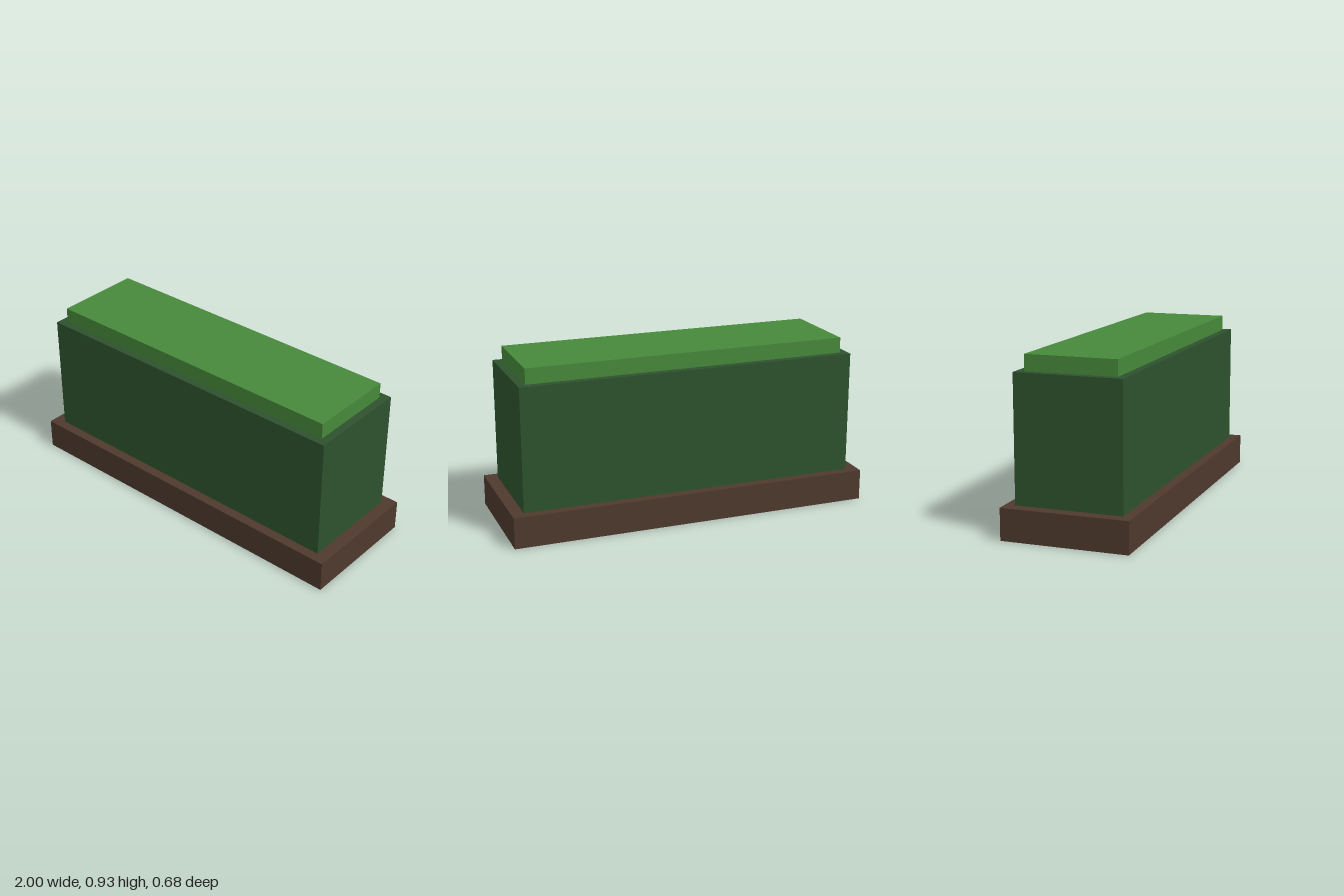
import * as THREE from 'three';

const material = (name, color) => {
  const m = new THREE.MeshStandardMaterial({ color });
  m.name = name;
  return m;
};

export function createModel() {
  const group = new THREE.Group();
  group.name = 'plantedHedge';

  // Box centred on x and z, spanning y0 to y1
  const addBlock = (name, width, y0, y1, depth, mat) => {
    const mesh = new THREE.Mesh(new THREE.BoxGeometry(width, y1 - y0, depth), mat);
    mesh.name = name;
    mesh.position.y = (y0 + y1) / 2;
    group.add(mesh);
  };

  // Soil bed
  addBlock('soilBase', 2, 0, 0.17, 0.68, material('soil brown', 0x4e392d));
  // Clipped hedge body
  addBlock('hedgeBody', 1.866, 0.17, 0.842, 0.574, material('dark leaf green', 0x2d522d));
  // Fresh growth on top
  addBlock('hedgeTop', 1.78, 0.842, 0.927, 0.49, material('light leaf green', 0x46893a));

  return group;
}
